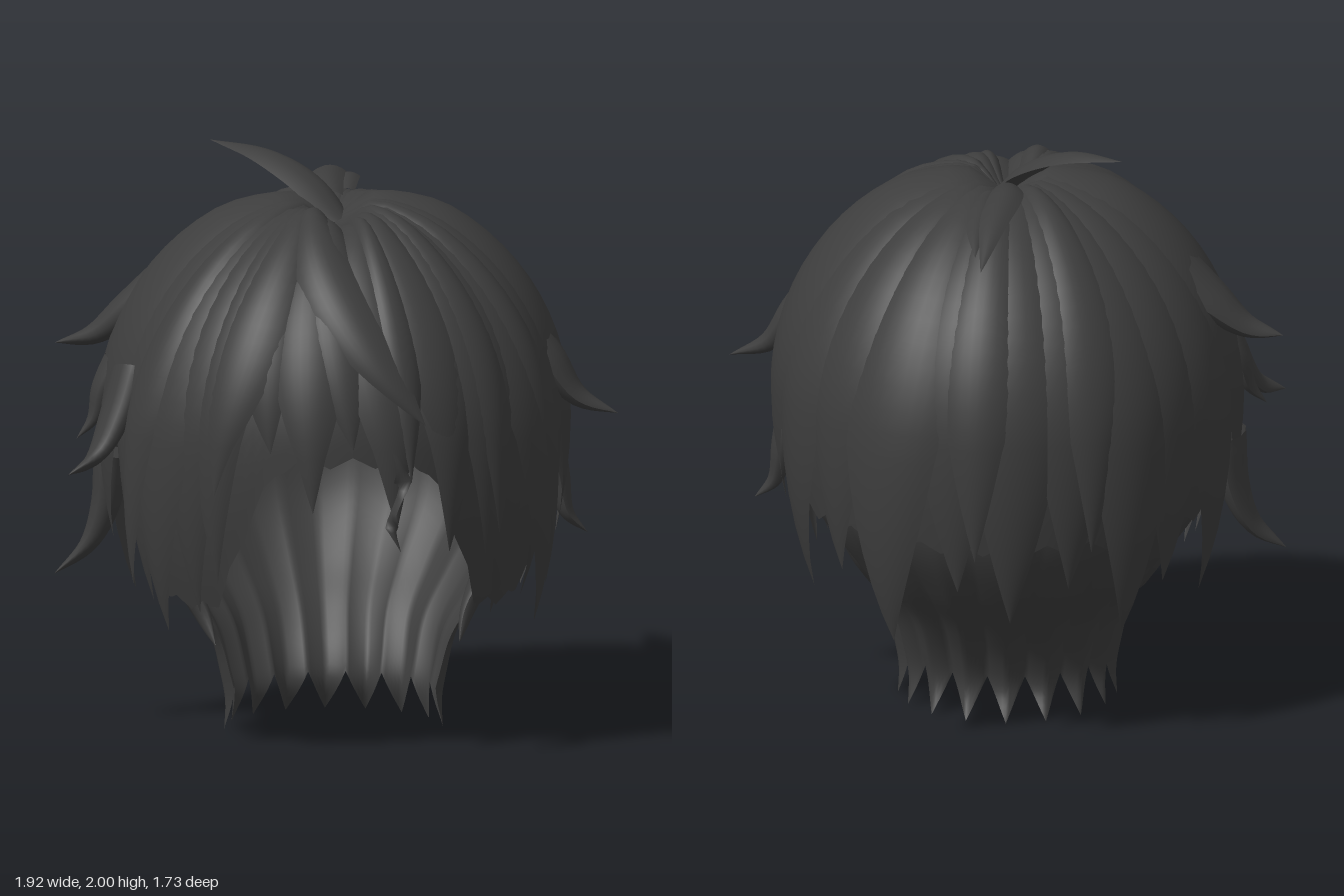
import * as THREE from 'three';

const CENTER_Y = 1.1, RX = 0.77, RZ = 0.82, R_UP = 0.77, R_DOWN = 1.2;
const rad = THREE.MathUtils.degToRad, smooth = THREE.MathUtils.smoothstep;

// Grid surface from a rule fn(u, v) -> Vector3; u runs root to tip, v runs across
function surface(nu, nv, fn) {
  const pos = [], idx = [];
  for (let i = 0; i <= nu; i++)
    for (let j = 0; j <= nv; j++) pos.push(...fn(i / nu, j / nv).toArray());
  for (let i = 0; i < nu; i++)
    for (let j = 0; j < nv; j++) {
      const a = i * (nv + 1) + j, b = a + nv + 1;
      idx.push(a, b, a + 1, b, b + 1, a + 1);
    }
  const g = new THREE.BufferGeometry();
  g.setAttribute('position', new THREE.Float32BufferAttribute(pos, 3));
  g.setIndex(idx);
  g.computeVertexNormals();
  return g;
}

// Head dome: azimuth 0 is the front, 90 degrees is +x; phi is the angle from the crown.
// A small hollow marks the parting.
function dome(az, phi, scale = 1) {
  const c = Math.cos(phi), r = Math.sin(phi) * scale;
  const x = Math.sin(az) * RX * r, z = Math.cos(az) * RZ * r;
  const dip = 0.1 * Math.exp(-((x / 0.08) ** 2) - ((z - 0.08) / 0.22) ** 2) * (c > 0 ? 1 : 0);
  return new THREE.Vector3(x, CENTER_Y + c * (c > 0 ? R_UP * scale : R_DOWN) - dip, z);
}
const phiAt = y => Math.acos(THREE.MathUtils.clamp(
  (y - CENTER_Y) / (y > CENTER_Y ? R_UP : R_DOWN), -1, 1));

// Lock that runs from the crown over the dome and tapers to a given tip
function lock([azDeg, halfDeg, x, y, z, lift = 0]) {
  const az0 = rad(azDeg), phiEnd = phiAt(y);
  let turn = Math.atan2(x / RX, z / RZ) - az0;
  turn = Math.atan2(Math.sin(turn), Math.cos(turn));
  const flare = Math.hypot(x / RX, z / RZ) / Math.sin(phiEnd) - 1;
  return surface(22, 10, (t, v) => {
    const s = v * 2 - 1;
    const taper = t < 0.55 ? 1 : 1 - Math.pow((t - 0.55) / 0.45, 1.9);
    const half = rad(halfDeg) * (1 + 0.35 * (1 - t)) * taper;
    const az = az0 + turn * Math.pow(t, 1.6) + s * half;
    const body = Math.min(1, t * 4) * (1 - t * t * t);
    const p = dome(az, phiEnd * t, 1 + body * (lift + 0.055 * (1 - s * s) - 0.025));
    const out = 1 + flare * Math.pow(t, 4);
    p.x *= out;
    p.z *= out;
    return p;
  });
}

const curveOf = points => new THREE.CatmullRomCurve3(points.map(p => new THREE.Vector3(...p)));

// Free strand standing off the hair
function strand(points, width) {
  const curve = curveOf(points);
  return surface(16, 6, (t, v) => {
    const s = v * 2 - 1, tan = curve.getTangent(t);
    const side = new THREE.Vector3().crossVectors(tan, new THREE.Vector3(0, 1, 0)).normalize();
    const up = new THREE.Vector3().crossVectors(side, tan);
    const w = width * (0.65 + 0.5 * Math.sin(t * 2.6)) * (1 - t ** 3);
    return curve.getPoint(t).addScaledVector(side, s * w).addScaledVector(up, (1 - s * s) * w * 0.4);
  });
}

// Solid flick: a flattened horn that leaves the dome and ends in a point
function flick(points, width) {
  const curve = curveOf(points);
  return surface(16, 12, (t, v) => {
    const p = curve.getPoint(t), tan = curve.getTangent(t);
    const side = new THREE.Vector3().crossVectors(tan, new THREE.Vector3(p.x, 0, p.z)).normalize();
    const up = new THREE.Vector3().crossVectors(side, tan);
    const w = width * (1 - t ** 1.7), a = -v * Math.PI * 2;
    return p.addScaledVector(side, Math.cos(a) * w).addScaledVector(up, Math.sin(a) * w * 0.5);
  });
}

const zigzag = (v, n) => Math.abs(((v * n) % 1) * 2 - 1);

// Each lock: root azimuth, half width (degrees), tip x, y, z, lift
const LOCKS = {
  backLock: [
    [116, 15, 0.66, 0.45, -0.25, 0.01], [135, 14, 0.56, 0.58, -0.5], [152, 14, 0.38, 0.37, -0.65],
    [168, 13, 0.16, 0.57, -0.74], [184, 13, -0.02, 0.45, -0.71], [200, 13, -0.22, 0.58, -0.72],
    [214, 13, -0.4, 0.4, -0.63], [228, 14, -0.54, 0.55, -0.52], [244, 15, -0.66, 0.45, -0.27, 0.01],
    [174, 10, 0.1, 0.7, -0.82, 0.02], [206, 10, -0.3, 0.72, -0.76, 0.02],
  ],
  sideLock: [
    [93, 25, 0.76, 0.68, 0.02, 0.04], [64, 15, 0.72, 0.74, 0.3, 0.01],
    [-93, 24, -0.76, 0.68, 0.0, 0.04], [-64, 15, -0.72, 0.74, 0.3, 0.01],
  ],
  templeLock: [
    [50, 12, 0.66, 0.43, 0.34], [40, 11, 0.5, 0.48, 0.45], [58, 11, 0.62, 0.5, 0.24],
    [32, 9, 0.48, 0.62, 0.58, 0.01], [54, 8, 0.7, 0.56, 0.34, 0.02],
    [-50, 12, -0.6, 0.42, 0.38], [-40, 11, -0.5, 0.5, 0.48], [-60, 11, -0.64, 0.5, 0.24],
    [-33, 9, -0.45, 0.62, 0.6, 0.01], [-54, 8, -0.72, 0.58, 0.34, 0.02],
  ],
  fringeLock: [
    [-22, 10, 0.25, 1.2, 0.81, 0.05], [-10, 9, 0.0, 1.12, 0.82, 0.03], [6, 10, 0.15, 0.84, 0.82, 0.01],
    [19, 10, 0.36, 0.95, 0.72, 0.02], [27, 10, 0.34, 0.74, 0.7], [-14, 10, -0.14, 0.9, 0.82, 0.01],
    [-24, 10, -0.47, 0.94, 0.68, 0.03], [-30, 9, -0.28, 1.1, 0.75, 0.02], [12, 6, 0.2, 1.0, 0.82, 0.03],
    [36, 8, 0.52, 0.78, 0.62, 0.02],
  ],
};

// Path points and half width of each flick
const FLICKS = [
  [[[0.58, 1.47, 0.14], [0.72, 1.32, 0.17], [0.82, 1.19, 0.2], [0.96, 1.13, 0.23]], 0.14],
  [[[0.74, 1.02, 0], [0.77, 0.88, 0], [0.8, 0.75, 0.02], [0.87, 0.68, 0.03]], 0.1],
  [[[-0.55, 1.58, -0.12], [-0.7, 1.45, -0.14], [-0.82, 1.36, -0.16], [-0.95, 1.33, -0.18]], 0.14],
  [[[-0.72, 1.3, 0.2], [-0.78, 1.14, 0.26], [-0.85, 1.02, 0.32], [-0.95, 0.97, 0.39]], 0.11],
  [[[-0.76, 0.96, -0.1], [-0.78, 0.78, -0.1], [-0.84, 0.64, -0.1], [-0.96, 0.54, -0.08]], 0.12],
  [[[-0.75, 1.3, 0], [-0.8, 1.2, 0], [-0.83, 1.1, 0.01], [-0.89, 1.03, 0.02]], 0.09],
  [[[-0.58, 0.66, -0.06], [-0.5, 0.5, -0.02], [-0.45, 0.4, 0.04], [-0.42, 0.32, 0.14]], 0.09],
  [[[0.58, 0.66, -0.06], [0.5, 0.5, -0.02], [0.45, 0.4, 0.04], [0.42, 0.32, 0.14]], 0.09],
];

export function createModel() {
  const model = new THREE.Group();
  model.name = 'hair';
  const hair = new THREE.MeshStandardMaterial({ color: 0x3d3d3d, side: THREE.DoubleSide });
  hair.name = 'charcoal hair';
  const add = (name, geometry) => {
    const mesh = new THREE.Mesh(geometry, hair);
    mesh.name = name;
    model.add(mesh);
  };

  // Under layer: open over the face, lowest at the temples
  add('underCap', surface(26, 120, (t, v) => {
    const az = v * Math.PI * 2, a = Math.abs(v > 0.5 ? 360 - v * 360 : v * 360);
    const edge = 1.05 - 0.55 * smooth(a, 15, 46) + 0.2 * smooth(a, 60, 86) + 0.04 * zigzag(v, 30);
    return dome(az, phiAt(edge) * t, 0.97);
  }));

  // Nape hair: sweeps in at the neck and ends in a row of points; profile is [rx, y, rz]
  const nape = curveOf([
    [0.74, 0.95, 0.78], [0.67, 0.7, 0.72], [0.53, 0.5, 0.6], [0.42, 0.34, 0.46],
    [0.38, 0.2, 0.36], [0.36, 0.1, 0.33], [0.36, 0, 0.38],
  ]);
  add('napeHair', surface(24, 108, (t, v) => {
    const az = rad(84 + v * 192), tip = zigzag(v, 9);
    const p = nape.getPoint(t * (1 - 0.24 * tip));
    const ridge = 1 + 0.05 * t * (1 - 2 * tip);
    return new THREE.Vector3(Math.sin(az) * p.x * ridge, p.y, Math.cos(az) * p.z * ridge);
  }));

  // Layered locks and the flicks that stick out of them
  for (const [name, rows] of Object.entries(LOCKS))
    rows.forEach((row, i) => add(name + (i + 1), lock(row)));
  FLICKS.forEach(([points, width], i) => add('flick' + (i + 1), flick(points, width)));

  // Loose tufts at the crown
  add('crownTuft', strand([[0.02, 1.77, 0.02], [-0.08, 1.88, -0.08], [-0.22, 1.96, -0.2], [-0.4, 2.0, -0.35]], 0.09));
  add('backTuft1', strand([[0, 1.84, -0.12], [0.0, 1.865, -0.32], [0.04, 1.84, -0.58], [0.08, 1.74, -0.82]], 0.06));
  add('backTuft2', strand([[0.06, 1.84, -0.2], [0.08, 1.85, -0.4], [0.1, 1.82, -0.58], [0.1, 1.77, -0.74]], 0.04));

  // Thin wisp over the face
  add('faceWisp', strand([[0.12, 1.2, 0.8], [0.17, 1.0, 0.83], [0.13, 0.86, 0.84], [0.16, 0.77, 0.86]], 0.035));
  return model;
}
